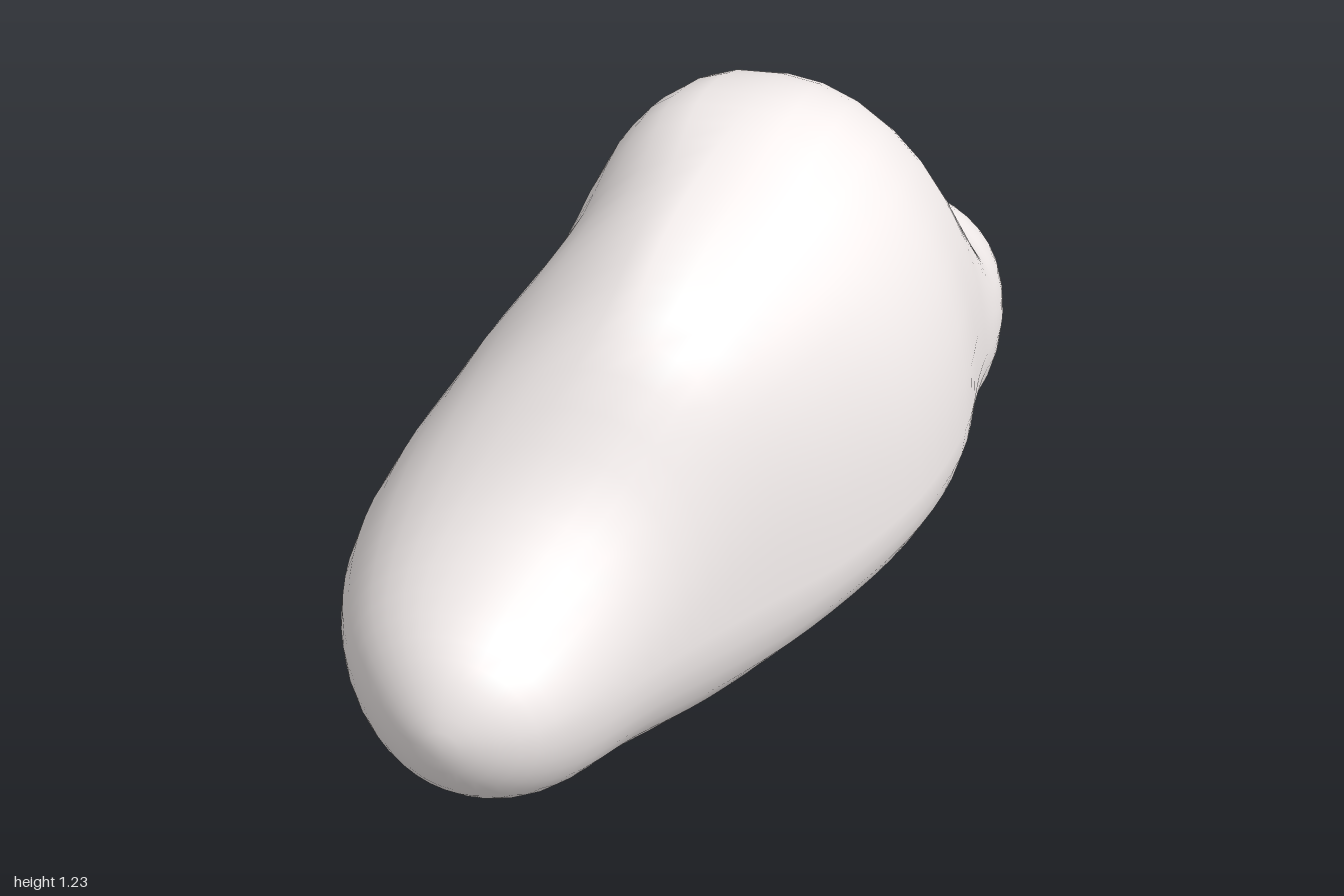
import * as THREE from 'three';

// Cross-sections along z: z, left x, right x, bottom y, top y, x of top, x of bottom, widest y,
// fullness of the -x shoulder, fullness of the +x shoulder
const SECTIONS = [
  [-1.0, 0.26, 0.26, 0.42, 0.42, 0.26, 0.26, 0.42, 2, 2],
  [-0.98, 0.14, 0.37, 0.31, 0.53, 0.26, 0.26, 0.42, 2, 2],
  [-0.91, 0.05, 0.465, 0.21, 0.62, 0.25, 0.27, 0.42, 2, 2],
  [-0.8, -0.035, 0.512, 0.15, 0.7, 0.24, 0.26, 0.42, 2, 2],
  [-0.67, -0.1, 0.535, 0.12, 0.775, 0.2, 0.25, 0.43, 2.1, 2],
  [-0.55, -0.16, 0.535, 0.115, 1.0, 0.12, 0.23, 0.45, 2.4, 2],
  [-0.42, -0.225, 0.545, 0.105, 1.165, 0.09, 0.2, 0.47, 2.8, 2],
  [-0.2, -0.285, 0.567, 0.08, 1.23, 0.09, 0.16, 0.48, 3, 2],
  [0.03, -0.37, 0.525, 0.09, 1.195, 0.05, 0.09, 0.45, 2, 2.2],
  [0.25, -0.525, 0.415, 0.03, 1.13, 0.02, -0.08, 0.41, 1.55, 2.4],
  [0.45, -0.57, 0.285, 0.0, 1.02, 0.0, -0.16, 0.4, 1.55, 2.4],
  [0.64, -0.55, 0.165, 0.05, 0.775, -0.12, -0.17, 0.39, 1.75, 2.2],
  [0.82, -0.47, 0.06, 0.095, 0.61, -0.2, -0.18, 0.37, 2, 2],
  [0.95, -0.34, -0.05, 0.21, 0.495, -0.2, -0.2, 0.36, 2, 2],
  [1.0, -0.2, -0.2, 0.36, 0.36, -0.2, -0.2, 0.36, 2, 2],
];
const SIDES = 36, STEPS = 4;
const LAST = SECTIONS.length - 1;

// Column value; beyond the ends z turns back and the rest runs on, which rounds the tips
function value(col, k) {
  const end = Math.max(0, Math.min(LAST, k));
  if (end === k) return SECTIONS[k][col];
  const inner = SECTIONS[2 * end - k][col];
  return col === 0 ? inner : 2 * SECTIONS[end][col] - inner;
}

// Smooth interpolation of one column between sections
function sample(col, u) {
  const i = Math.min(Math.floor(u), LAST - 1), t = u - i, t2 = t * t, t3 = t2 * t;
  const a = value(col, i), b = value(col, i + 1);
  const m0 = (b - value(col, i - 1)) / 2, m1 = (value(col, i + 2) - a) / 2;
  return (2 * t3 - 3 * t2 + 1) * a + (t3 - 2 * t2 + t) * m0 + (3 * t2 - 2 * t3) * b + (t3 - t2) * m1;
}

// One point on the section: four rounded quarters joined smoothly
function sectionPoint(u, angle) {
  const [z, xl, xr, yb, yt, xt, xb, ym, fullL, fullR] = SECTIONS[0].map((_, c) => sample(c, u));
  const c = Math.cos(angle), s = Math.sin(angle);
  const upper = s >= 0, right = c >= 0;
  const e = upper ? (right ? fullR : fullL) : 2;
  const a = Math.pow(Math.abs(c), 2 / e), b = Math.pow(Math.abs(s), 2 / e);
  const mid = upper ? xt : xb;
  return [mid + ((right ? xr : xl) - mid) * a, ym + ((upper ? yt : yb) - ym) * b, z];
}

function boulderGeometry() {
  const positions = [], index = [];
  const rings = LAST * STEPS - 1;
  for (let r = 0; r < rings; r++) {
    for (let k = 0; k < SIDES; k++) positions.push(...sectionPoint((r + 1) / STEPS, (k / SIDES) * Math.PI * 2));
  }
  // Poles at the back and front ends
  const back = rings * SIDES, front = back + 1;
  positions.push(...sectionPoint(0, 0), ...sectionPoint(LAST, 0));
  for (let k = 0; k < SIDES; k++) {
    const n = (k + 1) % SIDES;
    index.push(back, n, k);
    for (let r = 0; r < rings - 1; r++) {
      const p = r * SIDES, q = p + SIDES;
      index.push(p + k, p + n, q + n, p + k, q + n, q + k);
    }
    const p = (rings - 1) * SIDES;
    index.push(front, p + k, p + n);
  }
  const geometry = new THREE.BufferGeometry();
  geometry.setAttribute('position', new THREE.Float32BufferAttribute(positions, 3));
  geometry.setIndex(index);
  geometry.computeVertexNormals();
  return geometry;
}

export function createModel() {
  const group = new THREE.Group();
  group.name = 'boulder';
  const body = new THREE.Mesh(boulderGeometry(), new THREE.MeshStandardMaterial({ color: 0xf5efee }));
  body.name = 'boulderBody';
  group.add(body);
  return group;
}
